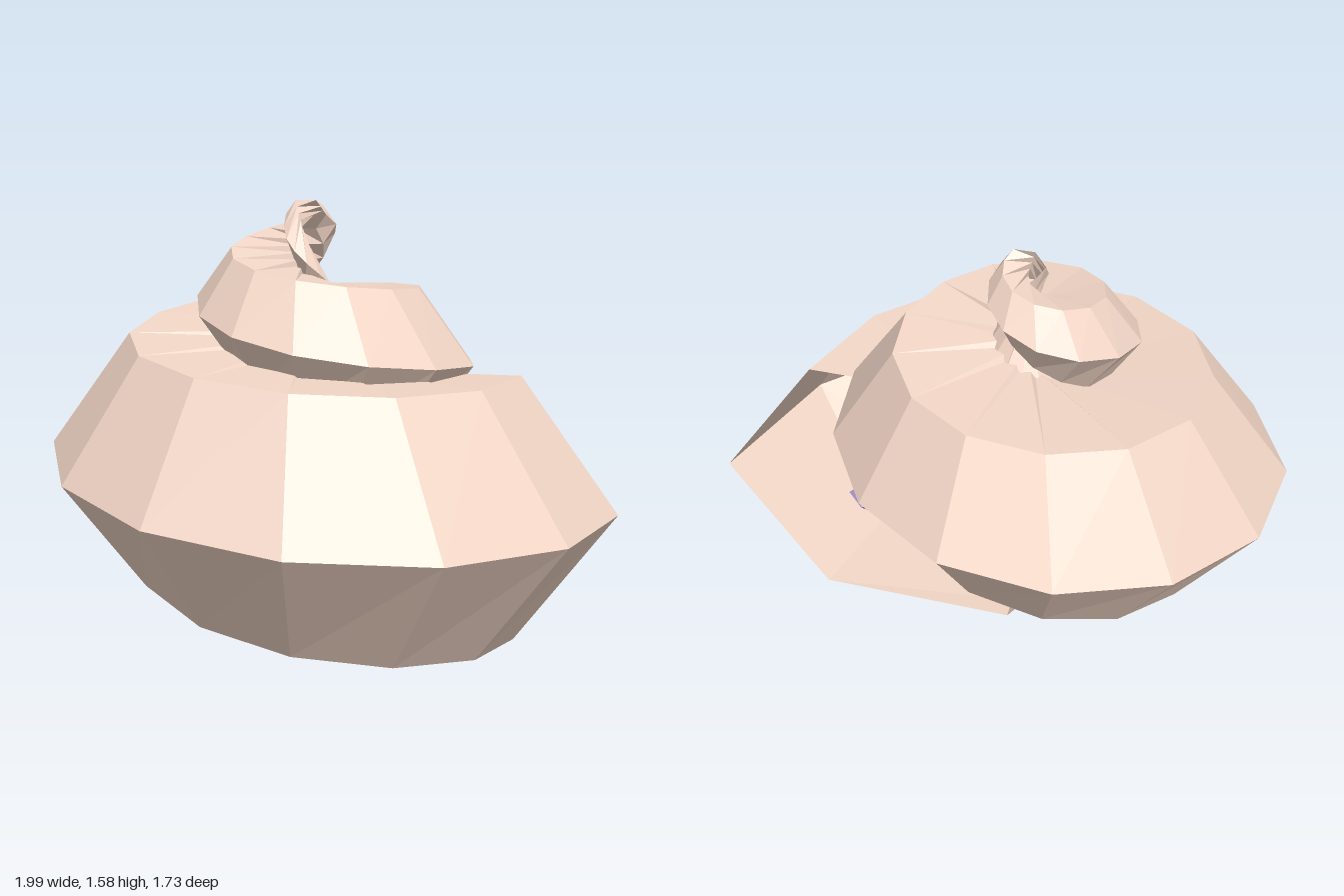
import * as THREE from 'three';

const AXIS = { x: -0.13, z: -0.14 };   // line the shell coils around
const STEPS_PER_TURN = 13, TURNS = 2, SIDES = 6;

// Six-sided tube swept up a shrinking helix, open at the mouth and the tip
function shellGeometry() {
  const steps = STEPS_PER_TURN * TURNS;
  const positions = [], index = [];
  for (let i = 0; i <= steps; i++) {
    const t = i / steps;
    const angle = t * TURNS * Math.PI * 2;
    const coil = THREE.MathUtils.lerp(0.42, 0.015, t);
    const rx = THREE.MathUtils.lerp(0.71, 0.071, t);
    const ry = rx * 0.8;
    const cy = THREE.MathUtils.lerp(0.492, 1.53, t);
    for (let j = 0; j < SIDES; j++) {
      const a = (j / SIDES) * Math.PI * 2;
      const r = coil + rx * Math.cos(a);
      positions.push(
        AXIS.x + r * Math.cos(angle),
        cy + ry * Math.sin(a),
        AXIS.z + r * Math.sin(angle)
      );
    }
  }
  for (let i = 0; i < steps; i++) {
    for (let j = 0; j < SIDES; j++) {
      const k = (j + 1) % SIDES;
      const a = i * SIDES + j, b = i * SIDES + k;
      const c = a + SIDES, d = b + SIDES;
      index.push(a, b, c, b, d, c);
    }
  }
  const geometry = new THREE.BufferGeometry();
  geometry.setAttribute('position', new THREE.Float32BufferAttribute(positions, 3));
  geometry.setIndex(index);
  geometry.computeVertexNormals();
  return geometry;
}

export function createModel() {
  const model = new THREE.Group();
  model.name = 'spiralShell';

  const shell = new THREE.Mesh(
    shellGeometry(),
    new THREE.MeshStandardMaterial({ color: 0xf2d6c6, flatShading: true, side: THREE.DoubleSide })
  );
  shell.name = 'shell';
  model.add(shell);

  // Faceted pearl sitting in the mouth
  const pearl = new THREE.Mesh(
    new THREE.OctahedronGeometry(0.071),
    new THREE.MeshStandardMaterial({ color: 0xb79ddb, flatShading: true })
  );
  pearl.name = 'pearl';
  pearl.position.set(0.46, 0.462, AXIS.z);
  model.add(pearl);

  return model;
}
